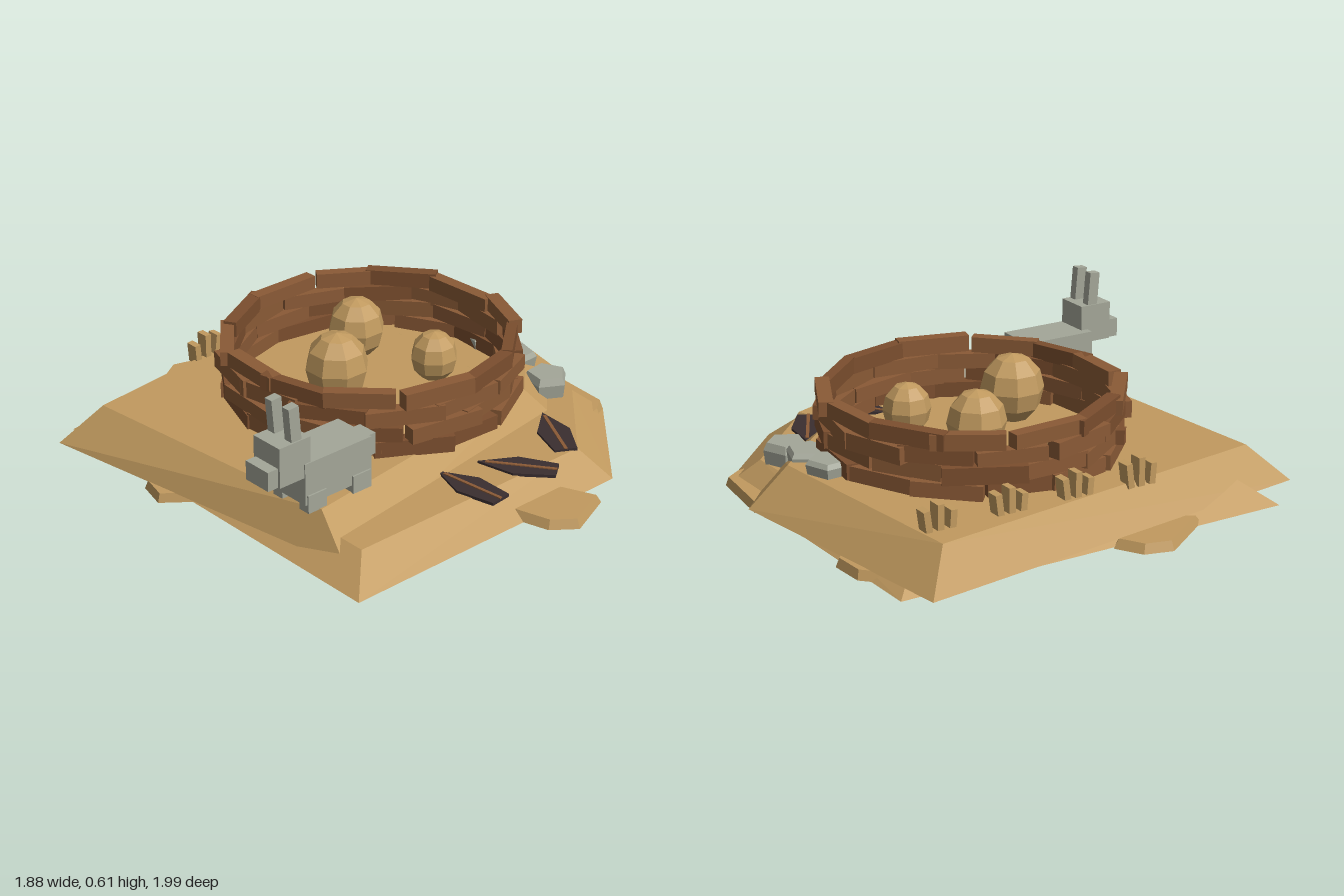
import * as THREE from 'three';
import { ConvexGeometry } from 'three/addons/geometries/ConvexGeometry.js';

const mat = (name, color) => {
  const m = new THREE.MeshStandardMaterial({ color });
  m.name = name;
  return m;
};

export function createModel() {
  const group = new THREE.Group();
  const sand = mat('sand', 0xc19a5f);
  const bark = mat('bark', 0x8a5a36);
  const darkBark = mat('dark bark', 0x7b4e2e);
  const stone = mat('stone', 0xa3a698);
  const black = mat('charcoal', 0x3a2e30);

  let seed = 7;
  const rand = (a, b) => {
    seed = (seed * 16807) % 2147483647;
    return a + (b - a) * (seed / 2147483647);
  };
  const add = (parent, name, geo, material, x = 0, y = 0, z = 0) => {
    const m = new THREE.Mesh(geo, material);
    m.name = name;
    m.position.set(x, y, z);
    parent.add(m);
    return m;
  };
  const box = (parent, name, material, w, h, d, x, y, z) =>
    add(parent, name, new THREE.BoxGeometry(w, h, d), material, x, y, z);
  // Solid between a lower and an upper outline, both given as [x, z]
  const slab = (parent, name, material, low, y0, high, y1) =>
    add(parent, name, new ConvexGeometry([
      ...low.map(([x, z]) => new THREE.Vector3(x, y0, z)),
      ...high.map(([x, z]) => new THREE.Vector3(x, y1, z)),
    ]), material);
  const shrink = (pts, k) => {
    const cx = pts.reduce((s, p) => s + p[0], 0) / pts.length;
    const cz = pts.reduce((s, p) => s + p[1], 0) / pts.length;
    return pts.map(([x, z]) => [cx + (x - cx) * k, cz + (z - cz) * k]);
  };

  // Ground: lower terrace, upper terrace and loose slabs around the rim
  slab(group, 'lowerTerrace', sand,
    [[-0.8, -0.86], [0.83, -0.86], [0.87, 0.41], [0.48, 0.82], [-0.8, 0.82]], 0,
    [[-0.67, -0.73], [0.7, -0.73], [0.75, 0.35], [0.42, 0.69], [-0.67, 0.69]], 0.1);
  slab(group, 'upperTerrace', sand,
    [[-0.94, -0.75], [0.78, -0.99], [0.94, 0.07], [0.6, 0.46], [-0.72, 0.66]], 0.035,
    [[-0.79, -0.66], [0.67, -0.87], [0.78, 0.06], [0.5, 0.33], [-0.68, 0.49]], 0.18);
  const rim = [
    [[-0.02, 0.74], [0.03, 0.92], [0.12, 0.99], [0.32, 0.91], [0.25, 0.74]],
    [[-0.45, -0.84], [-0.21, -1], [-0.1, -0.97], [-0.04, -0.87], [-0.2, -0.7]],
    [[0.75, 0.47], [0.8, 0.46], [0.87, 0.41], [0.9, 0.1], [0.7, 0.1]],
    [[0.8, -0.7], [0.87, -0.63], [0.88, -0.49], [0.8, -0.4], [0.6, -0.55]],
    [[-0.87, -0.3], [-0.9, -0.18], [-0.8, -0.1], [-0.7, -0.2]],
  ];
  rim.forEach((p) => slab(group, 'rimSlab', sand, p, 0, shrink(p, 0.88), 0.036));
  slab(group, 'nestFloor', sand,
    [[-0.34, -0.51], [0.49, -0.51], [0.49, 0.31], [-0.34, 0.31]], 0.17,
    [[-0.27, -0.44], [0.42, -0.44], [0.42, 0.24], [-0.27, 0.24]], 0.22);

  // Nest wall: staggered courses of boards
  const nest = new THREE.Group();
  nest.name = 'nestWall';
  nest.position.set(0.085, 0, -0.1);
  group.add(nest);
  const boards = 13;
  for (let row = 0; row < 4; row++) {
    for (let i = 0; i < boards; i++) {
      const a = ((i + row * 0.47 + rand(-0.1, 0.1)) / boards) * Math.PI * 2;
      const r = 0.543 + rand(-0.012, 0.012);
      const b = box(nest, 'board', (i + row) % 3 === 0 ? darkBark : bark,
        rand(0.26, 0.31), rand(0.055, 0.066), rand(0.042, 0.056),
        Math.sin(a) * r, 0.211 + row * 0.062 + rand(-0.005, 0.005), Math.cos(a) * r);
      b.rotation.set(0, a + rand(-0.07, 0.07), rand(-0.035, 0.035));
    }
  }

  // Faceted eggs
  [[-0.125, -0.06, 0.125, 0.49], [0.17, -0.28, 0.114, 0.465], [0.27, 0.06, 0.094, 0.41]]
    .forEach(([x, z, r, top]) => {
      const geo = new THREE.SphereGeometry(r, 8, 6).toNonIndexed();
      geo.rotateY(Math.PI / 8);
      geo.scale(1, 1.1, 1);
      geo.computeVertexNormals();
      add(group, 'egg', geo, sand, x, top - r * 1.1, z);
    });

  // Rabbit, facing -x
  const rabbit = new THREE.Group();
  rabbit.name = 'rabbit';
  rabbit.position.set(0, 0, 0.385);
  group.add(rabbit);
  box(rabbit, 'body', stone, 0.31, 0.165, 0.18, -0.585, 0.292, 0);
  box(rabbit, 'head', stone, 0.14, 0.155, 0.14, -0.78, 0.397, 0.015);
  box(rabbit, 'snout', stone, 0.05, 0.075, 0.12, -0.87, 0.357, 0.015);
  box(rabbit, 'tail', stone, 0.07, 0.085, 0.085, -0.398, 0.302, -0.005);
  for (const s of [-1, 1]) {
    box(rabbit, 'ear', stone, 0.045, 0.15, 0.036, -0.772, 0.532, 0.015 + s * 0.046)
      .rotation.z = 0.08;
    for (const x of [-0.69, -0.48]) {
      box(rabbit, 'leg', stone, 0.085, 0.07, 0.05, x, 0.212, s * 0.072);
    }
  }

  // Stepping stones down the right edge
  [[0.67, 0.285, 0.065, 0.185, 0.2], [0.67, 0.105, 0.135, 0.212, 0.9], [0.68, -0.08, 0.165, 0.235, 1.5]]
    .forEach(([x, z, y0, y1, turn]) => {
      const ring = (k) => Array.from({ length: 5 }, (_, i) => {
        const a = turn + (i / 5) * Math.PI * 2;
        return [x + Math.cos(a) * k, z + Math.sin(a) * k];
      });
      const ym = y0 + (y1 - y0) * 0.75;
      slab(group, 'steppingStone', stone, ring(0.08), y0, ring(0.09), ym);
      slab(group, 'steppingStoneCap', stone, ring(0.09), ym, ring(0.076), y1);
    });

  // Feathers: dark blades with a brown quill; tip at -z before turning
  const blade = [[0, -0.155], [0.065, -0.01], [0.045, 0.145], [-0.045, 0.145], [-0.065, -0.01]];
  [[-0.085, 0.63, 0.1], [0.15, 0.645, 0.62], [0.44, 0.55, -0.5]].forEach(([x, z, turn]) => {
    const feather = new THREE.Group();
    feather.name = 'feather';
    feather.position.set(x, 0.097, z);
    feather.rotation.y = turn;
    slab(feather, 'vane', black, blade, 0, blade, 0.012);
    box(feather, 'quill', bark, 0.013, 0.006, 0.27, 0, 0.013, 0.01);
    group.add(feather);
  });

  // Stubble tufts along the back edge
  [-0.23, 0.045, 0.325, 0.615].forEach((x) => {
    [[-0.05, 0.07, 0.08], [0, 0.1, 0], [0.05, 0.085, -0.14]].forEach(([dx, h, tilt]) => {
      box(group, 'stubble', sand, 0.026, h + 0.01, 0.052, x + dx, 0.17 + h / 2, -0.742)
        .rotation.z = tilt;
    });
  });

  return group;
}
